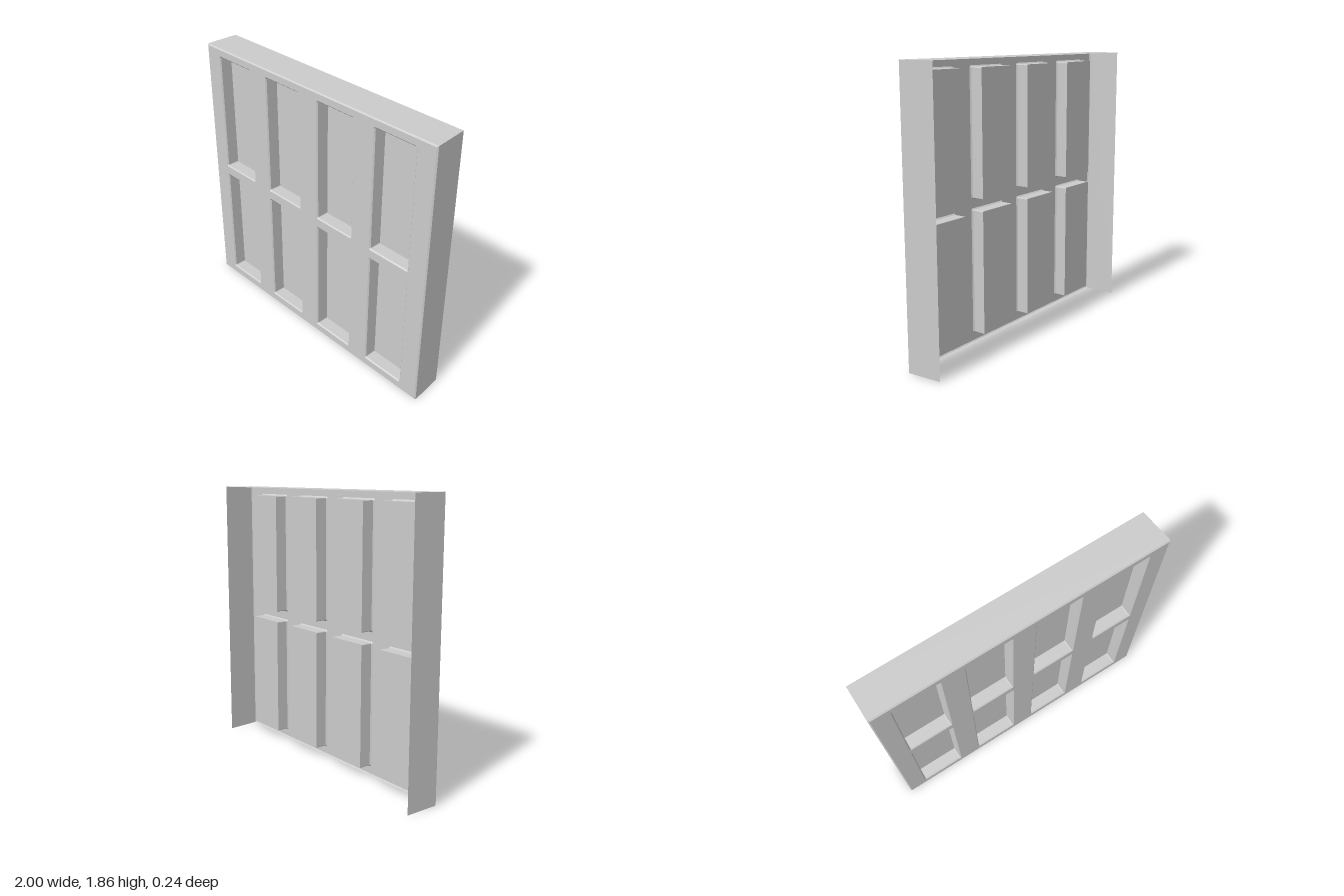
import * as THREE from 'three';

const material = new THREE.MeshStandardMaterial({
  color: 0xcccccc, flatShading: true, side: THREE.DoubleSide,
});

const HEIGHT = 1.86, FRONT = 0.12, BACK = -0.12;
const BEVEL = 0.008;
const PANEL_W = 0.32, PANEL_H = 0.845, DEPTH = 0.09;

// Joins successive rings of points with quads; closed rings wrap around
function loft(rings, closed) {
  const n = rings[0].length, positions = [], index = [];
  rings.forEach((ring) => ring.forEach((p) => positions.push(p.x, p.y, p.z)));
  for (let r = 0; r < rings.length - 1; r++) {
    for (let i = 0; i < (closed ? n : n - 1); i++) {
      const a = r * n + i, b = r * n + (i + 1) % n;
      index.push(a, a + n, b + n, a, b + n, b);
    }
  }
  const geometry = new THREE.BufferGeometry();
  geometry.setAttribute('position', new THREE.Float32BufferAttribute(positions, 3));
  geometry.setIndex(index);
  const flat = geometry.toNonIndexed();
  flat.computeVertexNormals();
  return flat;
}

// Clockwise outline of a rectangle with small rounded corners
function roundedOutline(cx, cy, w, h, radius) {
  const points = [], steps = 3;
  [[1, 1], [-1, 1], [-1, -1], [1, -1]].forEach(([sx, sy], corner) => {
    for (let i = 0; i <= steps; i++) {
      const t = (corner + i / steps) * Math.PI / 2;
      points.push(new THREE.Vector2(
        cx + sx * (w / 2 - radius) + radius * Math.cos(t),
        cy + sy * (h / 2 - radius) + radius * Math.sin(t)));
    }
  });
  return points.reverse();
}

const atDepth = (points, z) => points.map((p) => new THREE.Vector3(p.x, p.y, z));

// Corners of the casing: bottom right, top right, top left, bottom left
function casingCorners(x0, x1, inset) {
  return [
    [x1 - inset, inset], [x1 - inset, HEIGHT - inset],
    [x0 + inset, HEIGHT - inset], [x0 + inset, inset],
  ].map(([x, y]) => new THREE.Vector2(x, y));
}

export function createModel() {
  const group = new THREE.Group();
  const add = (geometry, name, parent = group) => {
    const mesh = new THREE.Mesh(geometry, material);
    mesh.name = name;
    parent.add(mesh);
    return mesh;
  };

  // Front face, pierced by the recessed panels
  const faceCorners = casingCorners(-1, 1, BEVEL);
  const face = new THREE.Shape(faceCorners);

  // Two rows of four recessed panels
  for (const y of [0.48, 1.385]) {
    for (const x of [-0.713, -0.241, 0.233, 0.705]) {
      const opening = roundedOutline(x, y, PANEL_W, PANEL_H, 0.014);
      const inner = roundedOutline(x, y, PANEL_W - 2 * BEVEL, PANEL_H - 2 * BEVEL, 0.006);
      face.holes.push(new THREE.Path(opening));

      const panel = new THREE.Group();
      panel.name = 'recessedPanel';
      group.add(panel);
      add(loft([
        atDepth(opening, FRONT),
        atDepth(inner, FRONT - BEVEL),
        atDepth(inner, FRONT - DEPTH),
      ], true), 'panelSides', panel);
      add(new THREE.ShapeGeometry(new THREE.Shape(inner)), 'panelFloor', panel)
        .position.z = FRONT - DEPTH;
    }
  }
  add(new THREE.ShapeGeometry(face), 'frontFace').position.z = FRONT;

  // Narrow bevel around the front, including the bottom lip
  const rim = atDepth(casingCorners(-1, 1, 0), FRONT - BEVEL);
  add(loft([atDepth(faceCorners, FRONT), rim], true), 'frontBevel');

  // Side and top walls, open at the back and below; the left wall tapers inward
  const backRim = atDepth(casingCorners(-1, 0.978, 0), BACK);
  add(loft([rim, backRim], false), 'casingWalls');

  return group;
}
